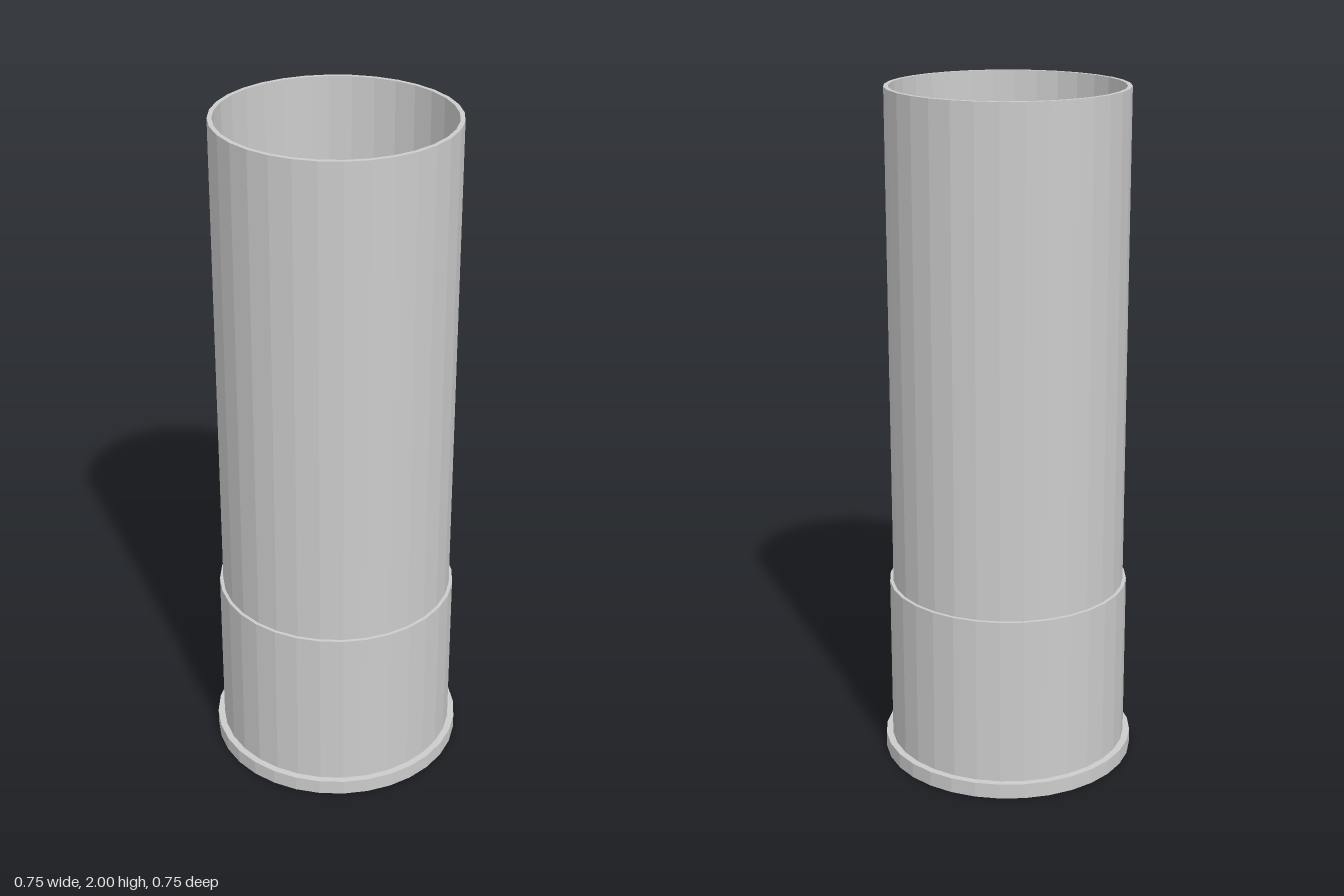
import * as THREE from 'three';

const SIDES = 32;
const material = new THREE.MeshStandardMaterial({ color: 0xcccccc, flatShading: true });

// Revolve a [radius, height] profile around the y axis
function turned(name, profile) {
  const points = profile.map(([r, y]) => new THREE.Vector2(r, y));
  const mesh = new THREE.Mesh(new THREE.LatheGeometry(points, SIDES), material);
  mesh.name = name;
  return mesh;
}

export function createModel() {
  const group = new THREE.Group();
  group.name = 'openCasing';

  const rimR = 0.373, headR = 0.353, tubeR = 0.343, boreR = 0.33, primerR = 0.127;
  const rimTop = 0.045, headTop = 0.545, top = 2, recess = 0.03, floor = 0.06;

  group.add(
    // Round recess in the middle of the underside
    turned('primerRecess', [[0, recess], [primerR, recess], [primerR, 0]]),
    // Flat base with its projecting rim
    turned('baseRim', [[primerR, 0], [rimR, 0], [rimR, rimTop], [headR, rimTop]]),
    // Wider sleeve around the lower part of the tube
    turned('headSleeve', [[headR, rimTop], [headR, headTop], [tubeR, headTop]]),
    // Outer wall, lip, inner wall and closed inner floor
    turned('tube', [[tubeR, headTop], [tubeR, top], [boreR, top], [boreR, floor], [0, floor]]),
  );
  return group;
}
